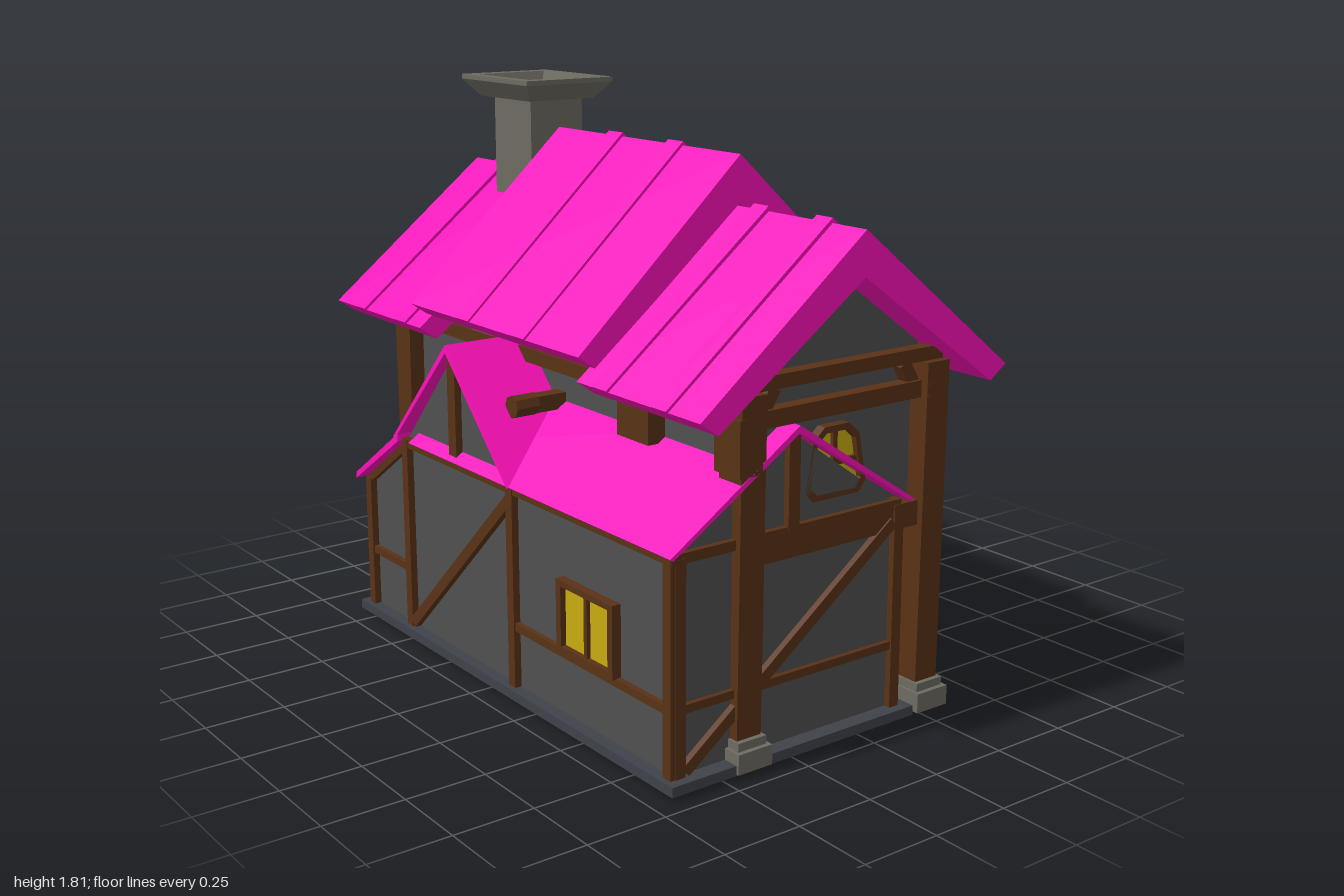
import * as THREE from 'three';

const mat = (color, extra = {}) => new THREE.MeshStandardMaterial({ color, flatShading: true, ...extra });

export function createModel() {
  const root = new THREE.Group();
  const M = {
    roof: mat(0xff10bb), wood: mat(0x5a3216), wall: mat(0x505050), stone: mat(0x6e6b60),
    glass: mat(0xc8ab10), base: mat(0x40424a), barrel: mat(0x8f5223), leaf: mat(0x3f8f1a), dark: mat(0x3a2010),
  };
  const add = (name, geo, m, parent = root) => {
    const mesh = new THREE.Mesh(geo, m);
    mesh.name = name;
    parent.add(mesh);
    return mesh;
  };
  // Box given by its min and max on each axis
  const box = (name, m, x0, x1, y0, y1, z0, z1, parent) => {
    const b = add(name, new THREE.BoxGeometry(x1 - x0, y1 - y0, z1 - z0), m, parent);
    b.position.set((x0 + x1) / 2, (y0 + y1) / 2, (z0 + z1) / 2);
    return b;
  };
  // Straight timber between two points
  const beam = (name, a, b, w = 0.035, d = w, m = M.wood, parent = root) => {
    const p = new THREE.Vector3(...a), dir = new THREE.Vector3(...b).sub(p), len = dir.length();
    const t = add(name, new THREE.BoxGeometry(w, len, d), m, parent);
    t.position.copy(p).addScaledVector(dir, 0.5);
    t.quaternion.setFromUnitVectors(new THREE.Vector3(0, 1, 0), dir.normalize());
    return t;
  };
  // Outline extruded along z (points are x,y) or along x (points are z,y)
  const prism = (name, m, pts, axis, a, b) => {
    const shape = new THREE.Shape(pts.map(p => new THREE.Vector2(...p)));
    const g = new THREE.ExtrudeGeometry(shape, { depth: b - a, bevelEnabled: false });
    if (axis === 'x') g.rotateY(-Math.PI / 2).translate(b, 0, 0);
    else g.translate(0, 0, a);
    return add(name, g, m);
  };
  const chevron = (c, half, ridge, eave, t, cut) => [[c - half, eave], [c - half + cut, eave - cut * 0.7],
    [c, ridge - t], [c + half - cut, eave - cut * 0.7], [c + half, eave], [c, ridge]];
  const gable = (l, r, bottom, eave, c, peak) => [[l, bottom], [r, bottom], [r, eave], [c, peak], [l, eave]];

  // Foundation slabs, doorstep and small footings
  box('foundation', M.base, -0.82, 0.95, 0.015, 0.045, -0.2, 0.69);
  box('wingFoundation', M.base, -0.54, 0.16, 0.015, 0.045, -0.65, -0.2);
  box('doorstep', M.base, -0.32, -0.06, 0.01, 0.035, -0.7, -0.6);
  for (const x of [-0.51, 0.5]) box('footing', M.base, x - 0.035, x + 0.035, 0, 0.03, -0.1, 0.6);

  // Wall blocks
  prism('lowerWalls', M.wall, gable(-0.15, 0.65, 0.04, 0.67, 0.25, 0.95), 'x', -0.5, 0.9);
  prism('leanToWalls', M.wall, [[-0.77, 0.04], [-0.48, 0.04], [-0.48, 0.69], [-0.77, 0.5]], 'z', -0.15, 0.65);
  prism('frontGableWall', M.wall, gable(-0.52, 0.12, 0.6, 0.68, -0.2, 1.03), 'z', 0.3, 0.65);
  prism('backWingWalls', M.wall, gable(-0.52, 0.12, 0.04, 0.67, -0.2, 1.03), 'z', -0.6, -0.15);
  prism('upperWalls', M.wall, gable(-0.25, 0.4, 0.65, 1.13, 0.08, 1.37), 'x', -0.87, 0.87);

  // Main roof: two lower ends, a raised middle and raised ribs
  const lowRoof = (d, t) => chevron(0.08, 0.56 + d / 2, 1.5 + d, 1.055 + d * 0.3, t, 0.06);
  const highRoof = d => chevron(0.08, 0.57 + d / 2, 1.65 + d, 1.13 + d * 0.3, 0.14 + d, 0.06);
  for (const s of [-1, 1]) {
    const span = s < 0 ? [-1, -0.44] : [0.44, 1];
    prism('roofEnd', M.roof, lowRoof(0, 0.13), 'x', ...span);
    for (const x of [0.56, 0.83]) prism('roofRib', M.roof, lowRoof(0.015, 0.14), 'x', s * x - 0.033, s * x + 0.033);
    prism('raisedRoofRib', M.roof, highRoof(0.012), 'x', s * 0.155 - 0.037, s * 0.155 + 0.037);
  }
  prism('raisedRoof', M.roof, highRoof(0), 'x', -0.475, 0.465);
  prism('raisedRoofWall', M.wall, gable(-0.25, 0.4, 1.0, 1.22, 0.08, 1.52), 'x', -0.44, 0.44);

  // Thin lower roofs: long shed, cross gables front and back, and the side slope
  prism('shedRoof', M.roof, chevron(0.25, 0.44, 0.975, 0.685, 0.022, 0.01), 'x', -0.45, 0.94);
  prism('frontGableRoof', M.roof, chevron(-0.2, 0.35, 1.05, 0.685, 0.025, 0.01), 'z', 0.36, 0.69);
  prism('backGableRoof', M.roof, chevron(-0.2, 0.35, 1.05, 0.685, 0.025, 0.01), 'z', -0.65, -0.2);
  prism('sideSlopeRoof', M.roof, [[-0.82, 0.48], [-0.52, 0.675], [-0.52, 0.7], [-0.82, 0.5]], 'z', -0.17, 0.69);
  for (const x of [-0.6, 0.2]) {
    const awning = box('awning', M.roof, -0.07, 0.07, -0.008, 0.008, -0.08, 0.08);
    awning.position.set(x, 0.48, -0.2);
    awning.rotation.x = -0.95;
  }

  // Chimney with flared, hollow cap
  box('chimney', M.stone, -0.71, -0.49, 1.1, 1.75, -0.02, 0.18);
  const r = Math.SQRT1_2;
  const capPts = [[0.15, 0], [0.2, 0.055], [0.2, 0.07], [0.155, 0.07], [0.14, 0.035], [0, 0.035]];
  const cap = add('chimneyCap', new THREE.LatheGeometry(capPts.map(([x, y]) => new THREE.Vector2(x / r, y)), 4, Math.PI / 4), M.stone);
  cap.position.set(-0.6, 1.74, 0.085);
  cap.scale.z = 0.83;
  box('frontFlue', M.stone, -0.46, -0.33, 0.7, 1.06, 0.36, 0.44);

  // Big posts on stone feet, thicker at the top
  const post = (x, z, foot = true) => {
    const g = new THREE.BoxGeometry(0.1, 1.02, 0.085), p = g.attributes.position;
    for (let i = 0; i < p.count; i++) if (p.getY(i) < 0) p.setX(i, p.getX(i) * 0.78);
    add('post', g, M.wood).position.set(x, 0.57, z);
    if (!foot) return;
    box('postFoot', M.stone, x - 0.07, x + 0.07, 0.02, 0.08, z - 0.06, z + 0.06);
    box('postFootTop', M.stone, x - 0.055, x + 0.055, 0.08, 0.105, z - 0.05, z + 0.05);
  };
  for (const x of [-0.9, 0.89]) for (const z of [-0.27, 0.41]) post(x, z);
  post(0.46, -0.27);
  box('frontPostHead', M.wood, 0.38, 0.53, 0.86, 1.02, 0.38, 0.46);
  box('frontPostHead', M.wood, 0.83, 0.94, 0.86, 1.02, 0.38, 0.46);

  // Upper frame beams and braces
  for (const z of [-0.27, 0.41]) {
    beam('eaveBeam', [-0.95, 1.0, z], [0.94, 1.0, z], 0.045, 0.07);
    beam('overhangBeam', [-0.9, 0.63, z], [-0.52, 0.63, z], 0.07, 0.07);
    beam('brace', [-0.88, 0.52, z], [-0.76, 0.62, z], 0.05, 0.05);
  }
  beam('overhangBeam', [0.13, 0.65, -0.27], [0.89, 0.65, -0.27], 0.06, 0.06);
  for (const [a, b] of [[0.46, 0.2], [0.46, 0.66], [0.89, 0.72]])
    beam('backBrace', [a, 0.42, -0.27], [b, 0.63, -0.27], 0.05, 0.05);
  for (const s of [-1, 1]) {
    const x = 0.885 * s;
    beam('gableTopBeam', [x, 1.1, -0.31], [x, 1.1, 0.45], 0.06, 0.04);
    beam('gableRail', [x, 1.0, -0.27], [x, 1.0, 0.41], 0.06, 0.05);
    beam('gableFloorBeam', [x, 0.63, -0.27], [x, 0.63, 0.41], 0.06, 0.075);
    for (const [z, d] of [[0.37, -1], [-0.23, 1]]) beam('cornerBrace', [x, 0.98, z], [x, 1.08, z + d * 0.06], 0.04);
  }
  // Projecting log through the upper floor
  beam('log', [0, 0.88, -0.38], [0, 0.88, 0.54], 0.05, 0.05);
  for (const z of [-0.37, 0.54]) {
    const end = add('logEnd', new THREE.CylinderGeometry(0.035, 0.035, 0.08, 8), M.wood);
    end.rotation.x = Math.PI / 2;
    end.position.set(0, 0.88, z);
  }

  // Lower timber framing: front
  const zf = 0.655;
  for (const [x, top] of [[-0.77, 0.49], [-0.51, 0.68], [0.12, 0.68], [0.9, 0.68]]) beam('frontStud', [x, 0.045, zf], [x, top, zf]);
  beam('frontBeam', [-0.53, 0.67, zf], [0.92, 0.67, zf], 0.03);
  beam('frontDiagonal', [-0.49, 0.06, zf], [0.11, 0.63, zf]);
  beam('frontRail', [-0.76, 0.24, zf], [-0.52, 0.24, zf], 0.025);
  beam('frontRail', [0.13, 0.24, zf], [0.9, 0.24, zf], 0.025);
  beam('frontGableStud', [-0.2, 0.68, zf], [-0.2, 1.02, zf], 0.045, 0.035);
  beam('slopeTimber', [-0.77, 0.485, zf], [-0.51, 0.66, zf], 0.025);

  // Lower timber framing: right and left ends
  const xr = 0.903;
  for (const z of [-0.15, 0.64]) {
    beam('endStud', [xr, 0.045, z], [xr, 0.67, z]);
    beam('leftStud', [-0.77, 0.045, z], [-0.77, 0.49, z]);
  }
  beam('endBeam', [xr, 0.67, -0.16], [xr, 0.67, 0.66], 0.03);
  beam('endDiagonal', [xr, 0.06, 0.62], [xr, 0.62, -0.13]);
  beam('endRail', [xr, 0.24, -0.15], [xr, 0.24, 0.64], 0.025);
  beam('endGableStud', [xr, 0.67, 0.25], [xr, 0.95, 0.25], 0.035, 0.04);
  beam('leftRail', [-0.77, 0.24, -0.15], [-0.77, 0.24, 0.64], 0.025);
  beam('leftBeam', [-0.77, 0.485, -0.15], [-0.77, 0.485, 0.64], 0.025);
  // Lower timber framing: back wing and back wall
  for (const x of [-0.52, 0.12]) {
    for (const z of [-0.6, -0.165]) beam('wingStud', [x, 0.045, z], [x, 0.67, z]);
    beam('wingSideBeam', [x, 0.66, -0.6], [x, 0.66, -0.15], 0.03);
    beam('wingSideRail', [x, 0.24, -0.6], [x, 0.24, -0.15], 0.025);
  }
  beam('wingBeam', [-0.53, 0.67, -0.603], [0.13, 0.67, -0.603], 0.03);
  beam('wingGableStud', [-0.2, 0.67, -0.603], [-0.2, 1.02, -0.603], 0.04, 0.03);
  beam('backRail', [0.13, 0.24, -0.155], [0.9, 0.24, -0.155], 0.025);

  // Door
  box('doorFrame', M.wood, -0.3, -0.1, 0.04, 0.43, -0.622, -0.59);
  box('door', M.dark, -0.275, -0.125, 0.04, 0.405, -0.628, -0.6);
  box('doorHandle', M.stone, -0.155, -0.143, 0.2, 0.24, -0.638, -0.62);

  // Windows, drawn facing +z then turned to their wall
  const windowAt = (name, outline, x, y, z, turn, planter) => {
    const g = new THREE.Group();
    g.name = name;
    const outer = outline.map(p => new THREE.Vector2(...p));
    const inner = outer.map(p => p.clone().multiplyScalar(0.83));
    const frame = new THREE.Shape(outer);
    frame.holes.push(new THREE.Path(inner));
    add('windowFrame', new THREE.ExtrudeGeometry(frame, { depth: 0.03, bevelEnabled: false }), M.wood, g);
    add('windowPane', new THREE.ShapeGeometry(new THREE.Shape(inner)), M.glass, g).position.z = 0.012;
    const h = Math.max(...outer.map(p => p.y)), w = outer[1].x;
    box('mullion', M.wood, -0.008, 0.008, -h * 0.9, h * 0.9, 0.01, 0.024, g);
    if (planter) {
      box('crossbar', M.wood, -w * 0.95, w * 0.95, -0.008, 0.008, 0.01, 0.024, g);
      if (planter > 1) {
        box('flowerBox', M.wood, -0.11, 0.11, -0.14, -0.1, 0, 0.1, g);
        for (let i = 0; i < 4; i++) {
          const leaf = add('plant', new THREE.IcosahedronGeometry(0.032, 0), M.leaf, g);
          leaf.position.set(-0.075 + i * 0.05, -0.09, 0.06);
          leaf.rotation.y = i;
        }
      }
    }
    g.position.set(x, y, z);
    g.rotation.y = turn;
    root.add(g);
  };
  const arch = [[-0.085, -0.1], [0.085, -0.1], [0.112, -0.07], [0.085, 0.075], [0.045, 0.11], [-0.045, 0.11], [-0.085, 0.075], [-0.112, -0.07]];
  const square = [[-0.14, -0.11], [0.14, -0.11], [0.14, 0.11], [-0.14, 0.11]];
  windowAt('rightUpperWindow', arch, 0.87, 0.83, 0.08, Math.PI / 2, 1);
  windowAt('leftUpperWindow', arch, -0.87, 0.83, 0.08, -Math.PI / 2, 1);
  for (const [x, p] of [[0.67, 2], [-0.69, 2], [0.24, 1]]) windowAt('backUpperWindow', arch, x, 0.85, -0.25, Math.PI, p);
  windowAt('frontLowerWindow', square, 0.52, 0.36, 0.65, 0, 0);
  windowAt('leftLowerWindow', square, -0.77, 0.36, 0.22, -Math.PI / 2, 0);

  // Barrels with hoops
  const barrel = (x, y, z, rad, h) => {
    const g = new THREE.Group();
    g.name = 'barrel';
    const pts = [[0, 0], [0.78, 0], [0.95, 0.3], [1, 0.5], [0.95, 0.7], [0.78, 1], [0, 1]];
    add('staves', new THREE.LatheGeometry(pts.map(([u, v]) => new THREE.Vector2(u * rad, v * h)), 12), M.barrel, g);
    for (const v of [0.25, 0.75])
      add('hoop', new THREE.CylinderGeometry(rad * 0.96, rad * 0.96, h * 0.06, 12), M.stone, g).position.y = v * h;
    g.position.set(x, y, z);
    root.add(g);
  };
  barrel(0.64, 0.02, -0.335, 0.05, 0.155);
  barrel(0.64, 0.175, -0.335, 0.045, 0.15);
  barrel(-0.69, 0.02, -0.32, 0.068, 0.2);
  barrel(-0.585, 0.02, -0.35, 0.036, 0.12);
  box('crate', M.wood, -0.72, -0.62, 0.05, 0.14, -0.25, -0.17);
  return root;
}
